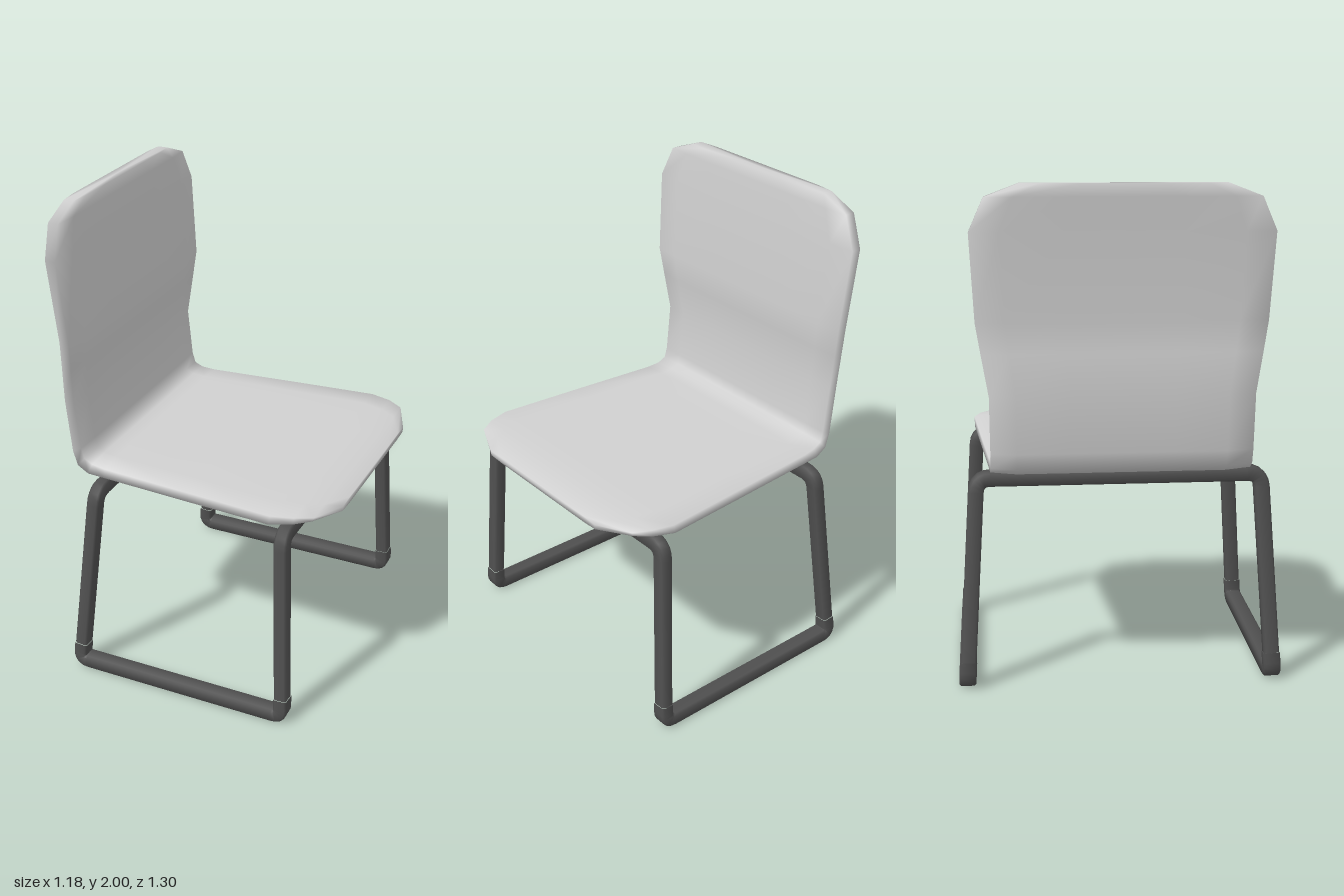
import * as THREE from 'three';
import { toCreasedNormals } from 'three/addons/utils/BufferGeometryUtils.js';

// Join equal rings of points into a surface; flip reverses the facing
function loft(rings, { flip = false, caps = false } = {}) {
  const n = rings[0].length, index = [];
  const pts = rings.flat();
  const tri = (a, b, c) => (flip ? index.push(a, c, b) : index.push(a, b, c));
  for (let i = 0; i < rings.length - 1; i++) {
    for (let j = 0; j < n; j++) {
      const k = (j + 1) % n, a = i * n + j, b = i * n + k;
      tri(a, b, a + n);
      tri(b, b + n, a + n);
    }
  }
  if (caps) {
    [rings[0], rings[rings.length - 1]].forEach((ring, end) => {
      const mid = new THREE.Vector3();
      ring.forEach((p) => mid.addScaledVector(p, 1 / n));
      const base = end ? (rings.length - 1) * n : 0, c = pts.push(mid) - 1;
      for (let j = 0; j < n; j++) {
        const a = base + j, b = base + (j + 1) % n;
        if (end) tri(c, a, b); else tri(c, b, a);
      }
    });
  }
  const geo = new THREE.BufferGeometry().setFromPoints(pts);
  geo.setIndex(index);
  geo.computeVertexNormals();
  return geo;
}

// Path through corners, each inner corner rounded off
function roundedPath(corners, radius) {
  const out = [corners[0]];
  for (let i = 1; i < corners.length - 1; i++) {
    const c = corners[i];
    const toward = (p) => c.clone().add(p.clone().sub(c).setLength(radius));
    out.push(...new THREE.QuadraticBezierCurve3(toward(corners[i - 1]), c, toward(corners[i + 1])).getPoints(5));
  }
  out.push(corners[corners.length - 1]);
  return out;
}

// Square bar with small chamfers, swept along a path
function bar(path, sideAxis, a, b) {
  const k = 0.008;
  const section = [[a, -b + k], [a, b - k], [a - k, b], [-a + k, b], [-a, b - k], [-a, -b + k], [-a + k, -b], [a - k, -b]];
  const rings = path.map((p, i) => {
    const before = path[Math.max(i - 1, 0)], after = path[Math.min(i + 1, path.length - 1)];
    const t = after.clone().sub(before).normalize();
    const s = sideAxis.clone().addScaledVector(t, -sideAxis.dot(t)).normalize();
    const n = t.clone().cross(s);
    return section.map(([u, v]) => p.clone().addScaledVector(s, u).addScaledVector(n, v));
  });
  return toCreasedNormals(loft(rings), 0.9);
}

// Seat and back in one moulded shell, from the seat's front lip up to the top
function shellGeometry() {
  // inner x, inner y, outer x, outer y, half width
  const stations = [
    [0.587, 0.914, 0.585, 0.885, 0.36],
    [0.525, 0.927, 0.515, 0.903, 0.51],
    [0.46, 0.934, 0.45, 0.892, 0.55],
    [0.37, 0.936, 0.36, 0.882, 0.576],
    [0.0, 0.936, 0.0, 0.879, 0.548],
    [-0.39, 0.935, -0.39, 0.876, 0.517],
    [-0.445, 0.942, -0.475, 0.876, 0.512],
    [-0.478, 0.958, -0.525, 0.905, 0.51],
    [-0.49, 1.0, -0.545, 0.97, 0.51],
    [-0.511, 1.2, -0.567, 1.2, 0.512],
    [-0.497, 1.36, -0.553, 1.36, 0.54],
    [-0.486, 1.48, -0.544, 1.48, 0.56],
    [-0.513, 1.82, -0.573, 1.82, 0.578],
    [-0.526, 1.95, -0.586, 1.95, 0.52],
    [-0.533, 2.0, -0.591, 2.0, 0.39],
  ];
  const across = [-1, -0.8, -0.4, 0, 0.4, 0.8, 1];
  const rings = stations.map(([xi, yi, xo, yo, w]) => {
    const at = (u, f) => new THREE.Vector3(xi + (xo - xi) * f, yi + (yo - yi) * f, u * w);
    const rim = (u) => (Math.abs(u) === 1 ? 0.14 : 0);
    return [
      ...across.map((u) => at(u, rim(u))),
      ...across.slice().reverse().map((u) => at(u, 1 - rim(u))),
    ];
  });
  return loft(rings, { flip: true, caps: true });
}

export function createModel() {
  const shellMat = new THREE.MeshStandardMaterial({ color: 0xd0d0d0 });
  shellMat.name = 'light grey shell';
  const frameMat = new THREE.MeshStandardMaterial({ color: 0x505050 });
  frameMat.name = 'dark grey metal';

  const model = new THREE.Group();
  model.name = 'chair';
  const add = (name, geo, mat) => {
    const mesh = new THREE.Mesh(geo, mat);
    mesh.name = name;
    model.add(mesh);
  };

  add('seatShell', shellGeometry(), shellMat);

  // Leg ends on one side: foot corner and top corner
  const V = (x, y, z) => new THREE.Vector3(x, y, z);
  const front = { foot: V(0.449, 0.029, 0.616), top: V(0.417, 0.845, 0.567) };
  const rear = { foot: V(-0.486, 0.029, 0.616), top: V(-0.402, 0.845, 0.567) };
  const joint = (leg) => leg.foot.clone().lerp(leg.top, 0.1);
  const mirror = (p) => V(p.x, p.y, -p.z);

  // Two arches: leg, cross bar under the seat, leg
  for (const [name, leg] of [['frontLegs', front], ['rearLegs', rear]]) {
    const corners = [joint(leg), leg.top, mirror(leg.top), mirror(joint(leg))];
    add(name, bar(roundedPath(corners, 0.055), V(1, 0, 0), 0.027, 0.031), frameMat);
  }

  // Floor rails, bent up at both ends to meet the legs
  for (const [name, side] of [['leftRail', (p) => p], ['rightRail', mirror]]) {
    const corners = [joint(rear), rear.foot, front.foot, joint(front)].map(side);
    add(name, bar(roundedPath(corners, 0.04), V(0, 0, 1), 0.034, 0.029), frameMat);
  }
  return model;
}
